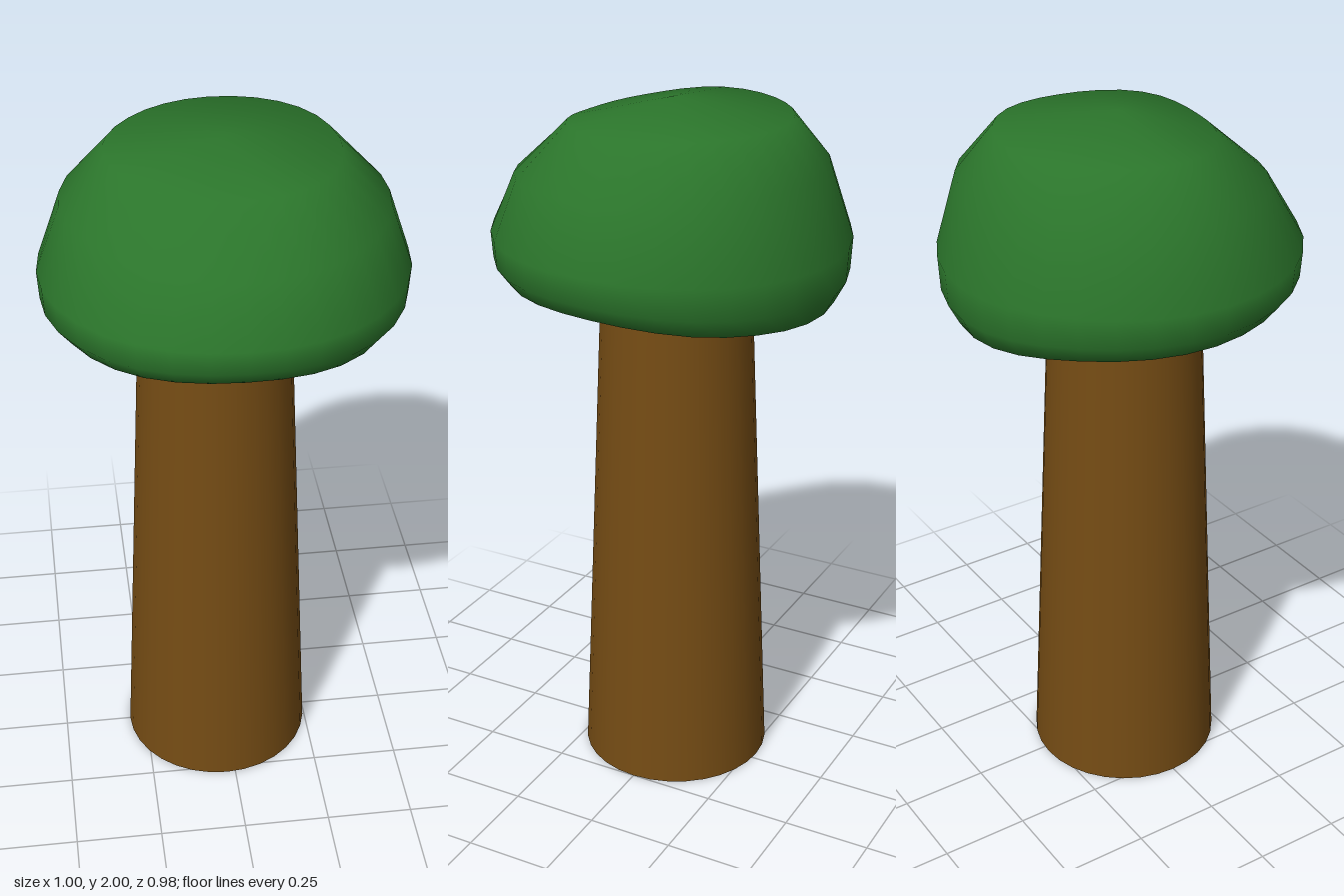
import * as THREE from 'three';

const SEGMENTS = 32;

// Smooth periodic interpolation of values spaced evenly around the circle
// (angle 0 faces +z, growing toward +x).
function around(values, t) {
  const n = values.length, f = t * n, i = Math.floor(f), u = f - i;
  const [a, b, c, d] = [-1, 0, 1, 2].map((k) => values[(i + k + n) % n]);
  return b + 0.5 * u * (c - a + u * (2 * a - 5 * b + 4 * c - d + u * (3 * (b - c) + d - a)));
}

// Cap: uneven rings from the crown over the shoulder and round the wavy rim
// to the underside, closed by a pole at each end.
function capGeometry() {
  const rim = [1.535, 1.51, 1.51, 1.475, 1.455, 1.49, 1.5, 1.515];
  const flat = (y) => Array(8).fill(y);
  const mix = (y, k) => rim.map((v) => y + (v - 1.5) * k);
  const rings = [
    { r: [0.25, 0.29, 0.31, 0.33, 0.33, 0.32, 0.31, 0.26], y: [1.94, 1.95, 1.95, 1.96, 1.96, 1.96, 1.96, 1.945] },
    { r: [0.41, 0.43, 0.44, 0.44, 0.42, 0.43, 0.43, 0.4], y: [1.8, 1.81, 1.82, 1.83, 1.83, 1.83, 1.83, 1.81] },
    { r: [0.49, 0.495, 0.5, 0.495, 0.49, 0.495, 0.5, 0.495], y: mix(1.64, 0.4) },
    { r: [0.485, 0.49, 0.495, 0.49, 0.485, 0.49, 0.495, 0.49], y: mix(1.56, 0.8) },
    { r: flat(0.455), y: mix(1.51, 1) },
    { r: flat(0.4), y: mix(1.5, 1) },
    { r: flat(0.2), y: mix(1.52, 0.5) },
  ];
  const positions = [0, 2, 0], index = [];
  for (const ring of rings) {
    for (let s = 0; s < SEGMENTS; s++) {
      const t = s / SEGMENTS, a = t * Math.PI * 2, r = around(ring.r, t);
      positions.push(Math.sin(a) * r, around(ring.y, t), Math.cos(a) * r);
    }
  }
  const bottom = positions.length / 3;
  positions.push(0, 1.53, 0);
  const at = (ring, s) => 1 + ring * SEGMENTS + (s % SEGMENTS);
  const last = rings.length - 1;
  for (let s = 0; s < SEGMENTS; s++) {
    index.push(0, at(0, s), at(0, s + 1));
    for (let k = 0; k < last; k++) {
      index.push(at(k, s), at(k + 1, s), at(k + 1, s + 1));
      index.push(at(k, s), at(k + 1, s + 1), at(k, s + 1));
    }
    index.push(bottom, at(last, s + 1), at(last, s));
  }
  const geometry = new THREE.BufferGeometry();
  geometry.setAttribute('position', new THREE.Float32BufferAttribute(positions, 3));
  geometry.setIndex(index);
  geometry.computeVertexNormals();
  return geometry;
}

export function createModel() {
  const model = new THREE.Group();
  model.name = 'tree';

  // Tapered trunk, open at the foot and reaching just into the cap
  const height = 1.55;
  const trunk = new THREE.Mesh(
    new THREE.CylinderGeometry(0.208, 0.275, height, SEGMENTS, 1, true),
    new THREE.MeshStandardMaterial({ color: 0x754c14, side: THREE.DoubleSide })
  );
  trunk.name = 'trunk';
  trunk.position.set(-0.025, height / 2, 0);

  // Leafy cap
  const foliage = new THREE.Mesh(capGeometry(), new THREE.MeshStandardMaterial({ color: 0x2b752b }));
  foliage.name = 'foliage';

  model.add(trunk, foliage);
  return model;
}
